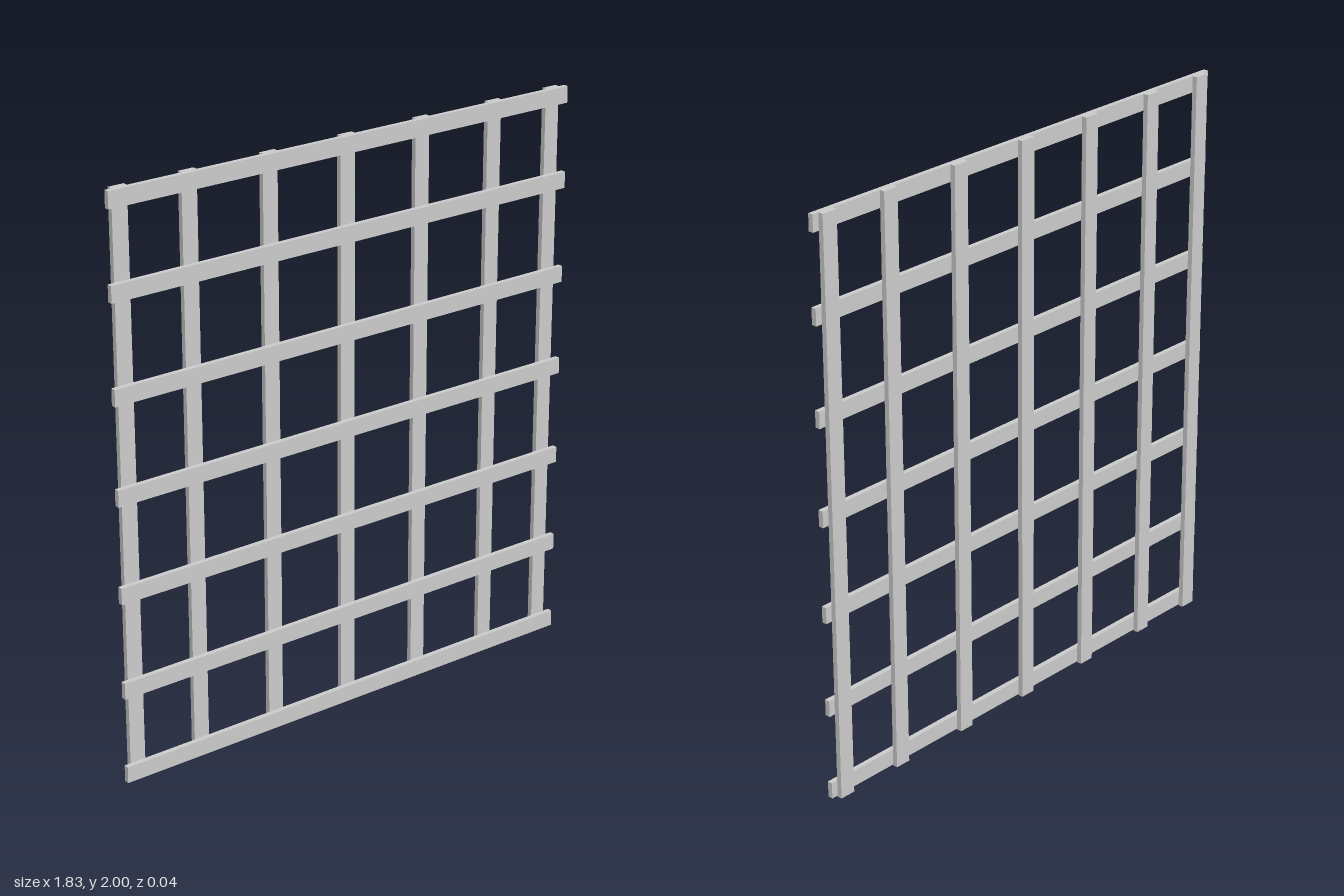
import * as THREE from 'three';

export function createModel() {
  const group = new THREE.Group();
  const material = new THREE.MeshStandardMaterial({ color: 0xcccccc, flatShading: true });
  const width = 0.057;
  const depth = 0.018;

  const addSlat = (name, sx, sy, x, y, z) => {
    const mesh = new THREE.Mesh(new THREE.BoxGeometry(sx, sy, depth), material);
    mesh.name = name;
    mesh.position.set(x, y, z);
    group.add(mesh);
  };

  // Upright slats at the back; the outer pair is set in from the ends
  [-0.861, -0.608, -0.304, 0, 0.304, 0.608, 0.861].forEach((x, i) =>
    addSlat(`uprightSlat${i + 1}`, width, 2, x, 1, -depth / 2));

  // Cross slats fixed to the front of the uprights
  [0.032, 0.335, 0.67, 1.005, 1.34, 1.675, 1.9715].forEach((y, i) =>
    addSlat(`crossSlat${i + 1}`, 1.826, width, 0, y, depth / 2));

  return group;
}
